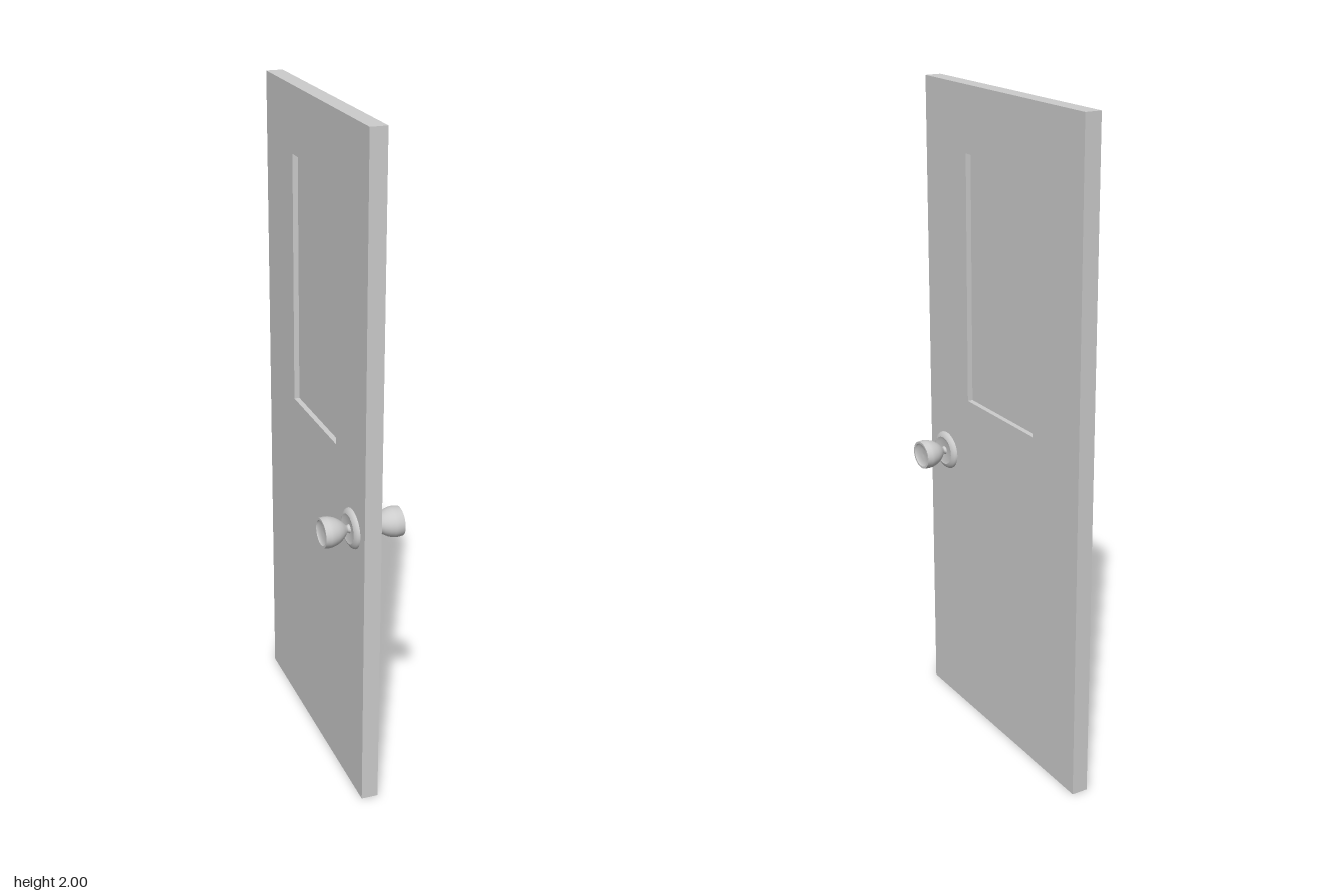
import * as THREE from 'three';

export function createModel() {
  const paint = new THREE.MeshStandardMaterial({ color: 0xcccccc });
  paint.name = 'plain grey';

  const add = (parent, name, geometry) => {
    const mesh = new THREE.Mesh(geometry, paint);
    mesh.name = name;
    parent.add(mesh);
    return mesh;
  };

  const model = new THREE.Group();
  model.name = 'door';
  const leaf = new THREE.Group();
  leaf.name = 'doorLeaf';
  leaf.position.x = -0.008;
  leaf.rotation.y = 0.0216; // slightly ajar
  model.add(leaf);

  // Rectangle outline as corner points
  const rect = (x0, x1, y0, y1) => [[x0, y0], [x1, y0], [x1, y1], [x0, y1]]
    .map(([x, y]) => new THREE.Vector2(x, y));

  // Slab with the window opening
  const thick = 0.05;
  const outline = new THREE.Shape(rect(-0.416, 0.416, 0, 2));
  outline.holes.push(new THREE.Path(rect(-0.185, 0.182, 1.055, 1.805).reverse()));
  const slab = new THREE.ExtrudeGeometry(outline, { depth: thick, bevelEnabled: false });
  slab.translate(0, 0, -thick / 2).rotateY(Math.PI / 2);
  add(leaf, 'slab', slab);

  // Recessed pane, set back on both sides
  add(leaf, 'windowPane', new THREE.BoxGeometry(0.018, 0.75, 0.367))
    .position.set(0, 1.43, 0.0015);

  // Knob profiles as [radius, distance from the middle of the slab]
  const profiles = {
    rosette: [[0.064, 0.02], [0.065, 0.027], [0.062, 0.032], [0.055, 0.037], [0.048, 0.039]],
    rosetteDish: [[0.048, 0.039], [0.038, 0.036], [0.012, 0.034]],
    knobBody: [[0.016, 0.032], [0.011, 0.039], [0.013, 0.044], [0.025, 0.053], [0.035, 0.064],
      [0.043, 0.077], [0.048, 0.092], [0.049, 0.102], [0.047, 0.118]],
    knobRim: [[0.047, 0.118], [0.040, 0.118]],
    knobFace: [[0.040, 0.118], [0.036, 0.113], [0.02, 0.110], [0, 0.109]],
  };
  for (const [side, turn] of [['left', 0], ['right', Math.PI]]) {
    const knob = new THREE.Group();
    knob.name = side + 'Knob';
    knob.position.set(0, 0.853, 0.318);
    knob.rotation.y = turn;
    for (const [name, points] of Object.entries(profiles)) {
      const geometry = new THREE.LatheGeometry(points.map(([r, d]) => new THREE.Vector2(r, d)), 32);
      geometry.scale(0.9, 1, 1).rotateZ(-Math.PI / 2); // slightly oval
      add(knob, name, geometry);
    }
    leaf.add(knob);
  }
  return model;
}
